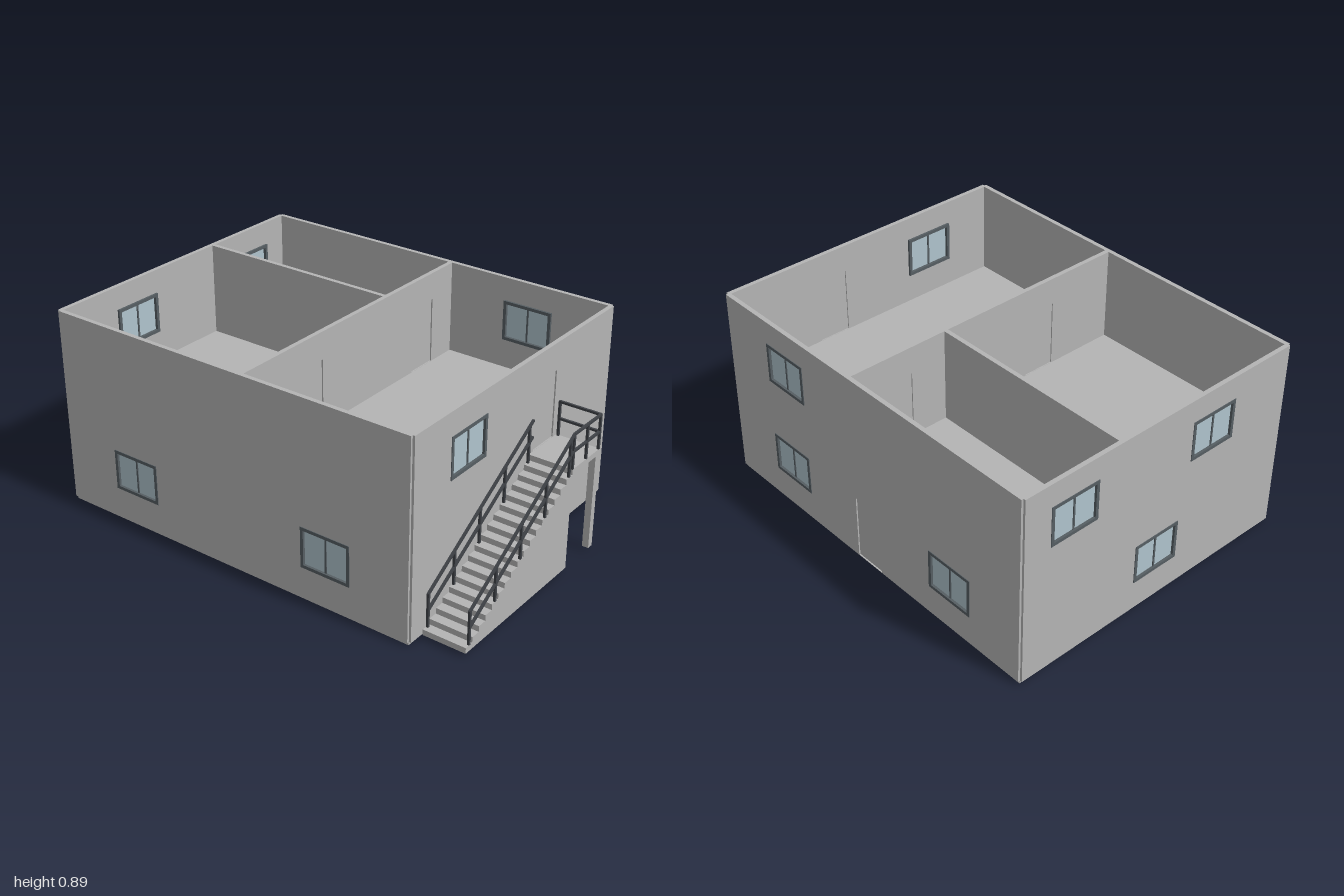
import * as THREE from 'three';

const mat = (name, color) => {
  const m = new THREE.MeshStandardMaterial({ color });
  m.name = name;
  return m;
};

export function createModel() {
  const concrete = mat('concrete', 0xb4b4b4);
  const frameMat = mat('window frame', 0x565e63);
  const glassMat = mat('window glass', 0xb0c4cd);
  const railMat = mat('railing metal', 0x404348);

  const model = new THREE.Group();
  model.name = 'house';

  const add = (parent, name, geo, material) => {
    const m = new THREE.Mesh(geo, material);
    m.name = name;
    parent.add(m);
    return m;
  };
  // Box given by its two opposite corners
  const box = (parent, name, material, x0, x1, y0, y1, z0, z1) => {
    const m = add(parent, name, new THREE.BoxGeometry(x1 - x0, y1 - y0, z1 - z0), material);
    m.position.set((x0 + x1) / 2, (y0 + y1) / 2, (z0 + z1) / 2);
    return m;
  };
  const rect = (Type, x0, x1, y0, y1) => new Type([[x0, y0], [x1, y0], [x1, y1], [x0, y1]]
    .map(([x, y]) => new THREE.Vector2(x, y)));
  // Plate with rectangular holes, from local z = front - depth to front
  const plate = (outer, holes, depth, front) => {
    const shape = rect(THREE.Shape, ...outer);
    shape.holes = holes.map((h) => rect(THREE.Path, ...h));
    return new THREE.ExtrudeGeometry(shape, { depth, bevelEnabled: false }).translate(0, 0, front - depth);
  };

  const T = 0.02, GROUND = 0.015, UPPER = 0.47, TOP = 0.893;
  const LOW = 0.152, HIGH = 0.605, WIN_W = 0.236, WIN_H = 0.183;

  // Wall in its own frame: x along it, outer face at z = 0
  function wall(name, turn, x, z, u0, u1, y0, windows, doors) {
    const g = new THREE.Group();
    g.name = name;
    g.position.set(x, 0, z);
    g.rotation.y = turn;
    model.add(g);
    const winRects = windows.map(([u, y]) => [u - WIN_W / 2, u + WIN_W / 2, y, y + WIN_H]);
    const doorRects = doors.map(([u, y]) => [u - 0.075, u + 0.075, y + 0.001, y + 0.3]);
    add(g, name + 'Panel', plate([u0, u1, y0, TOP], [...winRects, ...doorRects], T, 0), concrete);
    for (const [a, b, c, d] of winRects) {
      const f = 0.014, mid = (a + b) / 2;
      add(g, 'windowFrame', plate([a, b, c, d], [[a + f, b - f, c + f, d - f]], 0.033, 0.003), frameMat);
      box(g, 'windowGlass', glassMat, a + f, b - f, c + f, d - f, -0.017, -0.008);
      box(g, 'windowMullion', frameMat, mid - 0.004, mid + 0.004, c + f, d - f, -0.021, -0.004);
    }
    for (const [a, b, c, d] of doorRects) box(g, 'door', concrete, a, b, c, d, -T + 0.005, -0.006);
  }

  const H = Math.PI / 2;
  // Slabs
  box(model, 'foundation', concrete, -0.985, 0.787, 0, GROUND, -0.708, 0.708);
  box(model, 'upperFloor', concrete, -0.985, 0.787, 0.445, UPPER, -0.705, 0.705);

  // Outer walls, leaving a small notch at each corner
  wall('frontWall', 0, 0, 0.717, -0.987, 0.787, GROUND, [[-0.598, LOW], [0.397, LOW]], []);
  wall('backWall', Math.PI, 0, -0.717, -0.787, 0.987, GROUND,
    [[-0.397, LOW], [-0.397, HIGH], [0.598, LOW]], [[0.105, GROUND]]);
  wall('leftSideWall', H, 0.797, 0, -0.707, 0.707, GROUND,
    [[-0.356, HIGH], [0.21, LOW]], [[0.19, UPPER]]);
  wall('rightSideWall', -H, -0.997, 0, -0.707, 0.707, GROUND,
    [[-0.46, HIGH], [0.28, HIGH], [0, LOW]], []);

  // Upper floor partitions
  wall('longPartition', H, 0, 0, -0.7, 0.7, UPPER, [], [[-0.295, UPPER], [0.475, UPPER]]);
  wall('crossPartition', 0, 0, -0.21, -0.98, -0.018, UPPER, [], []);

  // Outside stair: solid stepped block
  const X0 = 0.803, X1 = 0.997, STEPS = 17, Z0 = 0.64, Z1 = -0.082;
  const run = (Z0 - Z1) / STEPS, rise = (UPPER - GROUND) / (STEPS + 1);
  const profile = new THREE.Shape();
  profile.moveTo(-Z0, GROUND);
  for (let i = 0; i < STEPS; i++) {
    profile.lineTo(-Z0 + i * run, GROUND + (i + 1) * rise);
    profile.lineTo(-Z0 + (i + 1) * run, GROUND + (i + 1) * rise);
  }
  profile.lineTo(-Z1, GROUND);
  const stair = add(model, 'stair',
    new THREE.ExtrudeGeometry(profile, { depth: X1 - X0, bevelEnabled: false }), concrete);
  stair.rotation.y = H;
  stair.position.x = X0;

  // Landing and its post
  box(model, 'landing', concrete, 0.797, X1, 0.445, UPPER, -0.295, Z1);
  box(model, 'landingPost', concrete, 0.968, X1, GROUND, 0.445, -0.295, -0.266);

  // Railings
  const bar = (name, a, b, s = 0.01) => {
    const p = new THREE.Vector3(...a), q = new THREE.Vector3(...b);
    const m = add(model, name, new THREE.BoxGeometry(s, s, p.distanceTo(q) + s * 0.6), railMat);
    m.position.copy(p).add(q).multiplyScalar(0.5);
    m.lookAt(q);
  };
  const post = (x, z, y0, y1) =>
    box(model, 'railPost', railMat, x - 0.005, x + 0.005, y0, y1, z - 0.005, z + 0.005);
  const railY = (z) => 0.19 + (0.615 - z) * 0.62;
  const inner = 0.808, outer = 0.993, near = -0.085, far = -0.29;
  for (const x of [inner, outer]) {
    for (let i = 0; i < 5; i++) {
      const z = 0.615 - i * 0.169;
      const step = Math.floor((Z0 - z) / run) + 1;
      post(x, z, GROUND + step * rise, railY(z));
    }
    for (const drop of [0, 0.074])
      bar('stairRail', [x, railY(0.615) - drop, 0.615], [x, railY(near) - drop, near]);
  }
  for (const z of [near, -0.19, far]) post(outer, z, UPPER, 0.624);
  post(inner, far, UPPER, 0.624);
  for (const y of [0.624, 0.548]) {
    bar('landingRail', [outer, y, near], [outer, y, far]);
    bar('landingRail', [inner, y, far], [outer, y, far]);
  }
  return model;
}
